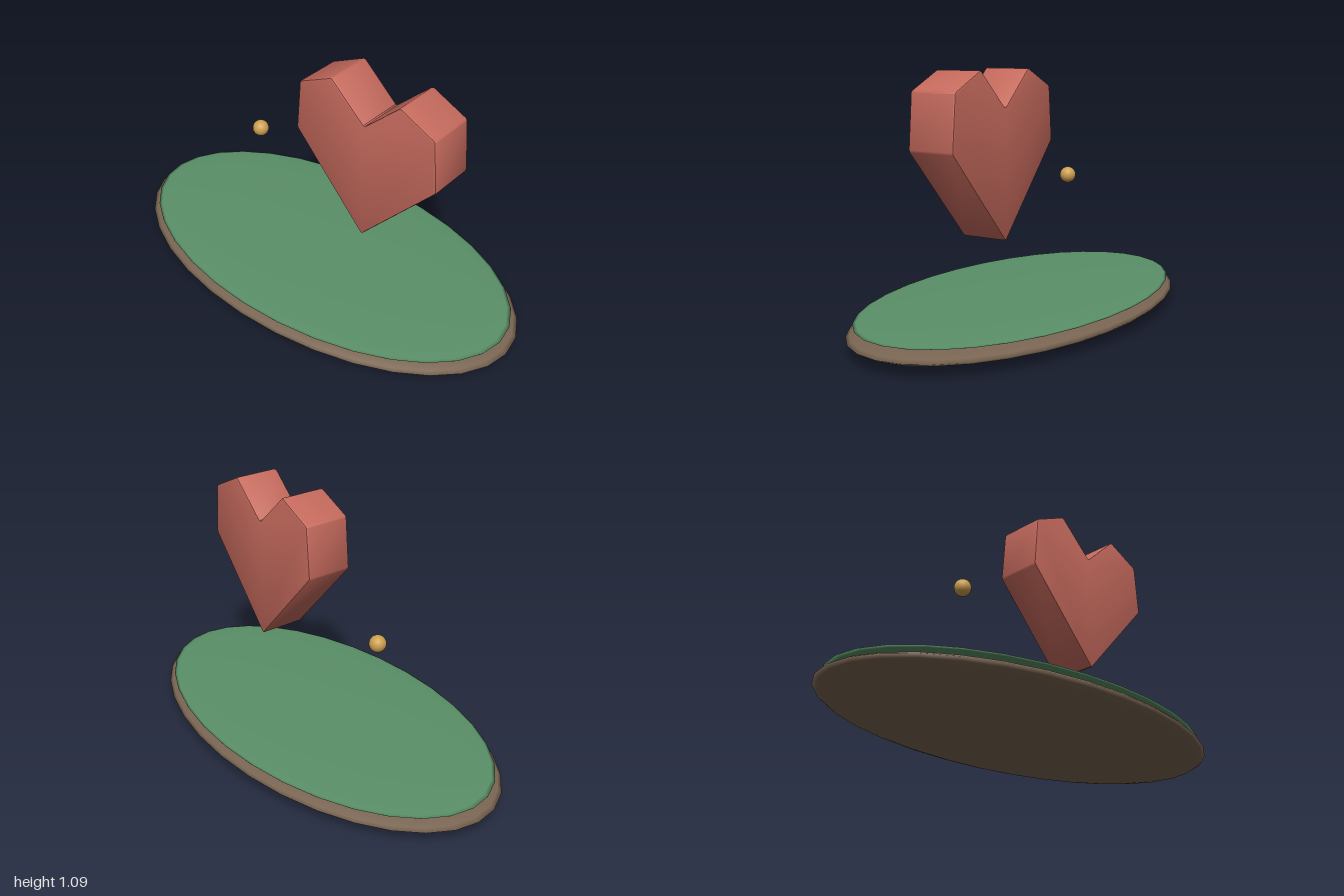
import * as THREE from 'three';
import { toCreasedNormals } from 'three/addons/utils/BufferGeometryUtils.js';

function addMesh(group, name, geometry, color) {
  const mesh = new THREE.Mesh(geometry, new THREE.MeshStandardMaterial({ color }));
  mesh.name = name;
  group.add(mesh);
  return mesh;
}

// Outline with each corner cut by a tiny chamfer
function chamferedShape(points, cut) {
  const outline = [];
  points.forEach((p, i) => {
    const prev = points[(i + points.length - 1) % points.length];
    const next = points[(i + 1) % points.length];
    for (const q of [prev, next]) {
      outline.push(p.clone().add(q.clone().sub(p).setLength(cut)));
    }
  });
  return new THREE.Shape(outline);
}

export function createModel() {
  const group = new THREE.Group();

  // Flattened earth base and the thin grass layer on it
  const base = addMesh(group, 'earthBase', new THREE.SphereGeometry(1, 32, 16), 0x7a6552);
  base.scale.set(1, 0.06, 0.545);
  base.position.y = 0.06;
  const grass = addMesh(group, 'grassTop', new THREE.SphereGeometry(1, 32, 16), 0x5a9068);
  grass.scale.set(0.965, 0.018, 0.525);
  grass.position.y = 0.105;

  // Angular heart: right half, mirrored about its centre line
  const half = [[0.358, 0.785], [0.338, 1.018], [0.17, 1.097]];
  const points = [
    [0, 0.395], ...half, [0, 0.94],
    ...half.map(([x, y]) => [-x, y]).reverse(),
  ].map(([x, y]) => new THREE.Vector2(x, y));
  const bevel = 0.007;
  const depth = 0.214 - 2 * bevel;
  const heartGeometry = new THREE.ExtrudeGeometry(chamferedShape(points, 0.006), {
    depth, bevelEnabled: true, bevelSize: bevel, bevelThickness: bevel,
    bevelOffset: -bevel, bevelSegments: 2,
  });
  heartGeometry.translate(0, 0, -depth / 2);
  const heart = addMesh(group, 'heart', toCreasedNormals(heartGeometry, 0.6), 0xc4695c);
  heart.position.x = 0.304;

  // Small floating golden ball
  const ball = addMesh(group, 'goldenBall', new THREE.SphereGeometry(0.037, 20, 14), 0xcda050);
  ball.position.set(-0.375, 0.587, 0);

  return group;
}
